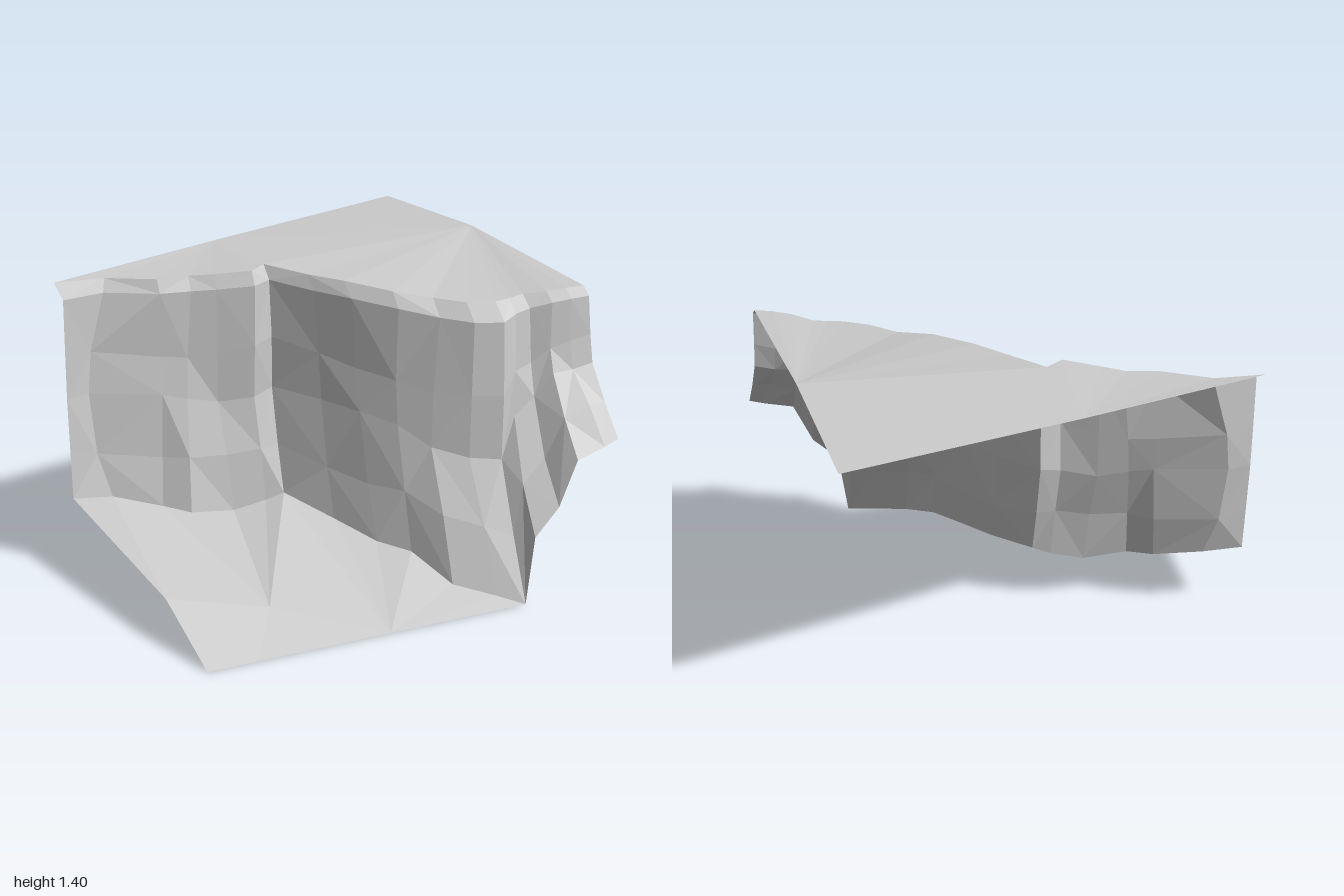
import * as THREE from 'three';

// Plan of the upper edge, left to right: x, z
const RIM = [
  [-1, -0.52], [-0.77, -0.49], [-0.57, -0.36], [-0.43, -0.33], [-0.33, -0.27], [-0.18, -0.19],
  [-0.09, -0.25], [0.03, -0.05], [0.13, 0.1], [0.27, 0.29], [0.41, 0.4], [0.51, 0.52],
  [0.62, 0.58], [0.69, 0.585], [0.755, 0.59], [0.84, 0.65], [0.92, 0.68], [1, 0.7],
];
// Foot of the cliff on the ground: x, y, z
const FOOT = [
  [-1, 0.32, -0.37], [-0.82, 0.31, -0.34], [-0.62, 0.265, -0.23], [-0.52, 0.245, -0.14],
  [-0.32, 0.23, -0.115], [-0.17, 0.265, -0.085], [-0.09, 0.295, -0.06], [0.03, 0.23, 0.2],
  [0.12, 0.18, 0.43], [0.21, 0.165, 0.58], [0.29, 0.07, 0.8], [0.44, 0.03, 0.92], [0.54, 0, 1],
];
// Remaining lower edge, cut off at the front: x, y
const CUT = [[0.58, 0.3], [0.7, 0.42], [0.79, 0.62], [0.93, 0.66], [1, 0.685]];

const NOTCH = 6; // column of the inner corner
const DROP = [0, 0.06, 0.33, 0.53, 0.78, 1]; // height fraction of each row
const DEPTH = [0, 0.2, 0.28, 0.36, 0.69, 1]; // forward fraction of each row
const LEAD = { 0: 0.6, 5: 0.15, 6: 0.1 }; // columns that step forward under the rim

const material = new THREE.MeshStandardMaterial({
  color: 0xcccccc, flatShading: true, side: THREE.DoubleSide,
});

// Faceted mesh from a list of triangles
function facets(name, triangles) {
  const geometry = new THREE.BufferGeometry();
  geometry.setAttribute('position', new THREE.Float32BufferAttribute(triangles.flat(2), 3));
  geometry.computeVertexNormals();
  const mesh = new THREE.Mesh(geometry, material);
  mesh.name = name;
  return mesh;
}

// Triangles from one apex to each segment of an edge
const fan = (apex, edge) => edge.slice(1).map((p, i) => [apex, edge[i], p]);

// The rim climbs towards the notch with a sag, then dips and rises again
const rimHeight = (x) => (x < 0
  ? 1.335 + 0.045 * x - 0.02 * Math.sin(Math.PI * x) ** 2
  : 1.28 + 0.03 * Math.cos(6 * x));

// Points of one column from rim to base, with slight rock unevenness
function columnPoints(top, base, c) {
  const inner = c > 0 && c < RIM.length - 1;
  const bulge = c === 1 ? -0.09 : inner ? 0.02 * Math.sin(c * Math.PI / 3) : 0;
  const lead = LEAD[c] ?? 0;
  const steepness = c < FOOT.length ? 1 : 1.2; // the cut columns hang steeper at the top
  return DROP.map((v, r) => {
    const rough = inner && r > 1 && r < 5 ? 0.01 * Math.sin(c * 7.3 + r * 4.1) : 0;
    const forward = r ? lead + (1 - lead) * DEPTH[r] ** steepness : 0;
    return [
      top[0] + (base[0] - top[0]) * v + bulge * Math.sin(Math.PI * v),
      top[1] + (base[1] - top[1]) * v + rough * 2,
      top[2] + (base[2] - top[2]) * forward + rough,
    ];
  });
}

export function createModel() {
  const group = new THREE.Group();
  group.name = 'cliff';
  const rim = RIM.map(([x, z]) => [x, rimHeight(x), z]);
  const bases = [...FOOT, ...CUT.map(([x, y]) => [x, y, 1])];
  const columns = rim.map((top, c) => columnPoints(top, bases[c], c));

  // Rock face: neighbouring columns joined row by row
  const wall = [];
  for (let c = 0; c < columns.length - 1; c++) {
    for (let r = 0; r < DROP.length - 1; r++) {
      const a = columns[c][r], b = columns[c][r + 1];
      const d = columns[c + 1][r], e = columns[c + 1][r + 1];
      if ((c + r) % 2) wall.push([a, b, e], [a, e, d]);
      else wall.push([a, b, d], [b, e, d]);
    }
  }
  group.add(facets('cliffFace', wall));

  // Plateau: fans from two outer points to the rim
  const back = [-0.09, 1.34, -0.75], side = [1, 1.4, -0.22], corner = [1, 1.4, -1];
  group.add(facets('plateau', [
    ...fan(back, rim.slice(0, NOTCH + 1)),
    ...fan(side, rim.slice(NOTCH)),
    [back, rim[NOTCH], side],
    [back, side, corner],
    [back, corner, rim[0]],
  ]));

  // Lower ground: fans from its ridge and front edge to the foot of the cliff
  const ridgeA = [-1, 0.18, 0.61], ridgeB = [-0.57, 0.1, 0.72];
  const frontA = [-1, 0, 1], frontB = [-0.77, 0, 1], frontC = [-0.14, 0, 1];
  group.add(facets('lowerGround', [
    ...fan(ridgeA, [ridgeB, FOOT[1], FOOT[0]]),
    ...fan(ridgeB, FOOT.slice(1, NOTCH + 1).reverse()),
    ...fan(frontC, FOOT.slice(NOTCH).reverse()),
    [ridgeB, frontC, FOOT[NOTCH]],
    [ridgeB, frontB, frontC],
    [ridgeA, frontB, ridgeB],
    [ridgeA, frontA, frontB],
  ]));
  return group;
}
